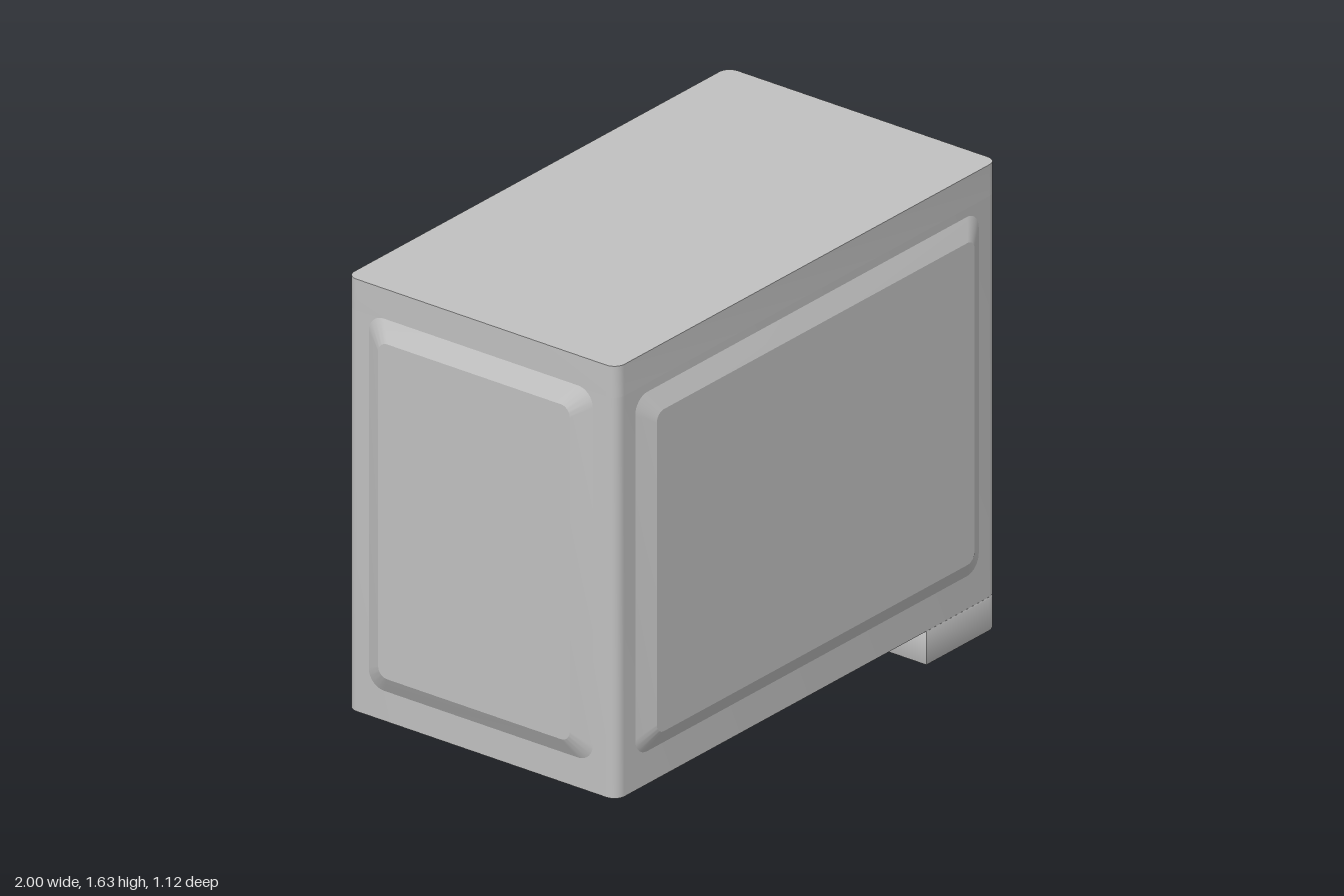
import * as THREE from 'three';
import { toCreasedNormals } from 'three/addons/utils/BufferGeometryUtils.js';

const SEG = 8;

// Points of a rounded rectangle, counter-clockwise; left and right corners have their own radius.
function rectPoints(x0, x1, y0, y1, rRight, rLeft = rRight) {
  const pts = [];
  const corners = [[x1, y1, rRight, -1, -1], [x0, y1, rLeft, 1, -1], [x0, y0, rLeft, 1, 1], [x1, y0, rRight, -1, 1]];
  corners.forEach(([x, y, r, sx, sy], q) => {
    if (r === 0) { pts.push(new THREE.Vector2(x, y)); return; }
    for (let i = 0; i <= SEG; i++) {
      const a = (q + i / SEG) * Math.PI / 2;
      pts.push(new THREE.Vector2(x + sx * r + r * Math.cos(a), y + sy * r + r * Math.sin(a)));
    }
  });
  return pts;
}

// Solid slab from an outline, with an optional hole and small edge bevel.
function slab(points, depth, hole, bevel = 0) {
  const shape = new THREE.Shape(points);
  if (hole) shape.holes.push(new THREE.Path(hole));
  const g = new THREE.ExtrudeGeometry(shape, {
    depth: depth - 2 * bevel, bevelEnabled: bevel > 0,
    bevelSize: bevel, bevelThickness: bevel, bevelOffset: -bevel, bevelSegments: 2,
  });
  g.translate(0, 0, bevel);
  return toCreasedNormals(g, 0.4);
}

// Sloped panel facing +z: raised for positive depth, sunken for negative.
function panel(x0, x1, y0, y1, r, inset, depth) {
  const outer = rectPoints(x0, x1, y0, y1, r);
  const inner = rectPoints(x0 + inset, x1 - inset, y0 + inset, y1 - inset, r * 0.6);
  const n = outer.length, pos = [], idx = [];
  outer.forEach((p) => pos.push(p.x, p.y, 0));
  inner.forEach((p) => pos.push(p.x, p.y, depth));
  pos.push((x0 + x1) / 2, (y0 + y1) / 2, depth);
  for (let i = 0; i < n; i++) {
    const j = (i + 1) % n;
    idx.push(i, j, n + j, i, n + j, n + i, n + i, n + j, 2 * n);
  }
  const g = new THREE.BufferGeometry();
  g.setAttribute('position', new THREE.Float32BufferAttribute(pos, 3));
  g.setIndex(idx);
  return toCreasedNormals(g, 0.4);
}

export function createModel() {
  const model = new THREE.Group();
  const grey = new THREE.MeshStandardMaterial({ color: 0xc0c0c0 });
  grey.name = 'light grey';

  function add(name, geometry, x = 0, y = 0, z = 0) {
    const mesh = new THREE.Mesh(geometry, grey);
    mesh.name = name;
    mesh.position.set(x, y, z);
    model.add(mesh);
  }
  const upright = (g) => g.rotateX(-Math.PI / 2);   // outline y becomes -z
  const sideways = (g, s) => g.rotateY(s * Math.PI / 2);

  const W = 0.965, FRONT = 0.525, BACK = -0.56;
  const BASE = 0.12, CEILING = 1.52, TOP = 1.63;
  const outline = rectPoints(-W, W, -FRONT, -BACK, 0.04);

  // Hollow body, open below, with a closed top
  const cavity = rectPoints(-0.89, 0.47, -0.42, 0.46, 0);
  add('bodyWalls', upright(slab(outline, CEILING - BASE, cavity)), 0, BASE);
  add('bodyTop', upright(slab(outline, TOP - CEILING)), 0, CEILING);

  // Raised panels on the front and both sides
  add('frontPanel', panel(-0.87, 0.87, 0.235, 1.49, 0.06, 0.065, 0.035), 0, 0, FRONT);
  for (const s of [1, -1]) {
    const ends = s > 0 ? [-0.43, 0.47] : [-0.47, 0.43];
    add(s > 0 ? 'leftPanel' : 'rightPanel',
      sideways(panel(ends[0], ends[1], 0.225, 1.525, 0.06, 0.065, 0.035), s), s * W);
  }

  // Inner lining of the right wall with a shallow recess
  const recess = [-0.23, 0.27, 0.315, 1.4];
  const lining = slab(rectPoints(-0.42, 0.46, BASE, CEILING, 0), 0.04, rectPoints(...recess, 0.05));
  add('innerLining', sideways(lining, 1), -0.89);
  add('innerRecess', sideways(panel(...recess, 0.05, 0.055, -0.035), 1), -0.85);

  // Foot under the left end
  add('foot', upright(slab(rectPoints(0.605, W, -FRONT, -BACK, 0.04, 0), BASE, null, 0.005)));

  return model;
}
